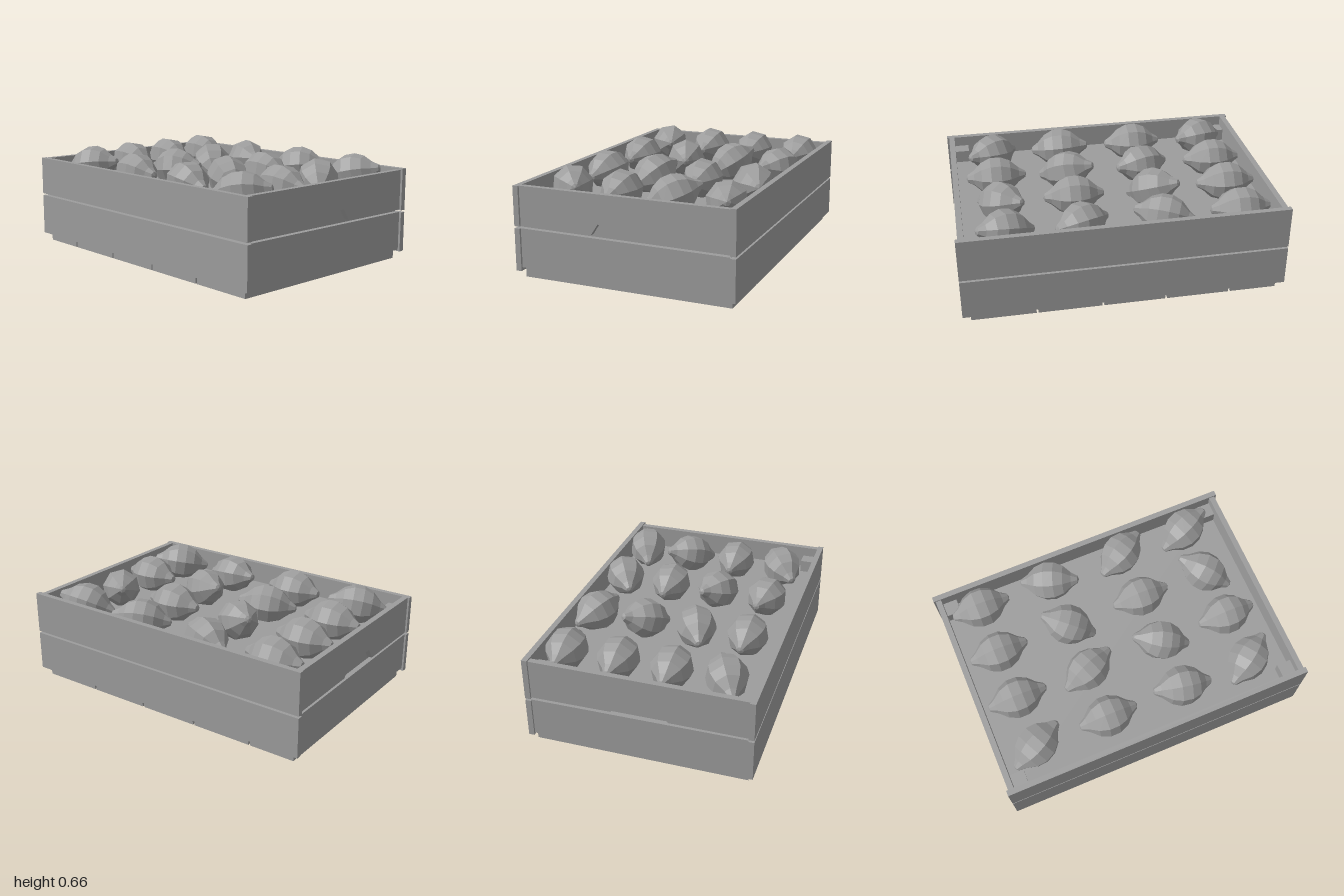
import * as THREE from 'three';

const material = new THREE.MeshStandardMaterial({ color: 0x9c9c9c, flatShading: true });

function addMesh(parent, geometry, name, x = 0, y = 0, z = 0) {
  const mesh = new THREE.Mesh(geometry, material);
  mesh.name = name;
  mesh.position.set(x, y, z);
  parent.add(mesh);
  return mesh;
}

// Box given by its minimum and maximum on each axis
function addBox(parent, name, [x0, x1], [y0, y1], [z0, z1]) {
  const geometry = new THREE.BoxGeometry(x1 - x0, y1 - y0, z1 - z0);
  return addMesh(parent, geometry, name, (x0 + x1) / 2, (y0 + y1) / 2, (z0 + z1) / 2);
}

// End board: outline in (z, y), extruded along x
function addEndBoard(parent, name, points, x) {
  const shape = new THREE.Shape(points.map(([z, y]) => new THREE.Vector2(-z, y)));
  const geometry = new THREE.ExtrudeGeometry(shape, { depth: 0.036, bevelEnabled: false });
  geometry.rotateY(Math.PI / 2);
  addMesh(parent, geometry, name, x);
}

// Faceted spindle tapering to a blunt point at each end, lying along x
function lemonGeometry() {
  const profile = [
    [0, -0.193], [0.022, -0.186], [0.048, -0.145], [0.1, -0.09], [0.125, -0.03],
    [0.124, 0.035], [0.097, 0.095], [0.05, 0.143], [0.024, 0.184], [0, 0.193],
  ].map(([r, h]) => new THREE.Vector2(r, h));
  return new THREE.LatheGeometry(profile, 8).rotateZ(-Math.PI / 2);
}

export function createModel() {
  const crate = new THREE.Group();
  crate.name = 'lemonCrate';

  // Bottom slats with narrow gaps
  const cuts = [-0.955, -0.655, -0.25, 0.145, 0.55, 0.95];
  for (let i = 0; i < 5; i++) {
    addBox(crate, 'bottomSlat', [cuts[i] + (i ? 0.006 : 0), cuts[i + 1] - (i < 4 ? 0.006 : 0)], [0, 0.05], [-0.66, 0.66]);
  }

  // Inner bed that carries the fruit
  addBox(crate, 'innerBed', [-0.955, 0.953], [0.05, 0.43], [-0.66, 0.66]);

  // Long boards on the front and back
  addBox(crate, 'frontLowerBoard', [-1, 1], [0.05, 0.313], [0.66, 0.695]);
  addBox(crate, 'frontUpperBoard', [-1, 1], [0.326, 0.572], [0.66, 0.695]);
  addBox(crate, 'backLowerBoard', [-1, 1], [0.05, 0.302], [-0.695, -0.66]);
  addBox(crate, 'backUpperBoard', [-1, 1], [0.315, 0.58], [-0.695, -0.66]);

  // Short end boards, the upper ones cut out as a handhold
  const lower = [[0.66, 0.07], [-0.66, 0.06], [-0.66, 0.304], [0.66, 0.313]];
  const upper = [
    [0.66, 0.326], [0.19, 0.326], [0.145, 0.395], [-0.113, 0.395],
    [-0.16, 0.326], [-0.66, 0.32], [-0.66, 0.572], [0.66, 0.572],
  ];
  for (const x of [0.95, -0.988]) {
    addEndBoard(crate, 'endLowerBoard', lower, x);
    addEndBoard(crate, 'endUpperBoard', upper, x);
  }

  // Corner posts
  for (const sx of [-1, 1]) {
    for (const sz of [-1, 1]) {
      const post = new THREE.BoxGeometry(0.09, 0.46, 0.09);
      addMesh(crate, post, 'cornerPost', sx * 0.905, 0.28, sz * 0.61);
    }
  }

  // Lemons in four rows: turn about y, tilt of the long axis, roll
  const columns = [-0.73, -0.255, 0.248, 0.705];
  const rows = [-0.53, -0.2, 0.13, 0.46];
  const turns = [
    [0, -0.38, 0.5, 0.35],
    [0, -0.6, 0, -0.8],
    [0, 0.38, -0.4, 0],
    [0.45, 0, -0.15, 0.6],
  ];
  const tilts = [
    [0, 0.1, 0.1, 0.25],
    [0, -0.4, 0, -0.3],
    [0, 0.1, -0.3, 0],
    [0.15, 0, -0.1, 0.15],
  ];
  const geometry = lemonGeometry();
  const lemons = new THREE.Group();
  lemons.name = 'lemons';
  crate.add(lemons);
  rows.forEach((z, r) => columns.forEach((x, c) => {
    const lemon = addMesh(lemons, geometry, 'lemon', x, 0.532, z);
    lemon.rotation.order = 'YZX';
    lemon.rotation.set(turns[r][c] ? (r * 4 + c) * 0.7 : 0.2, turns[r][c], tilts[r][c]);
  }));

  return crate;
}
